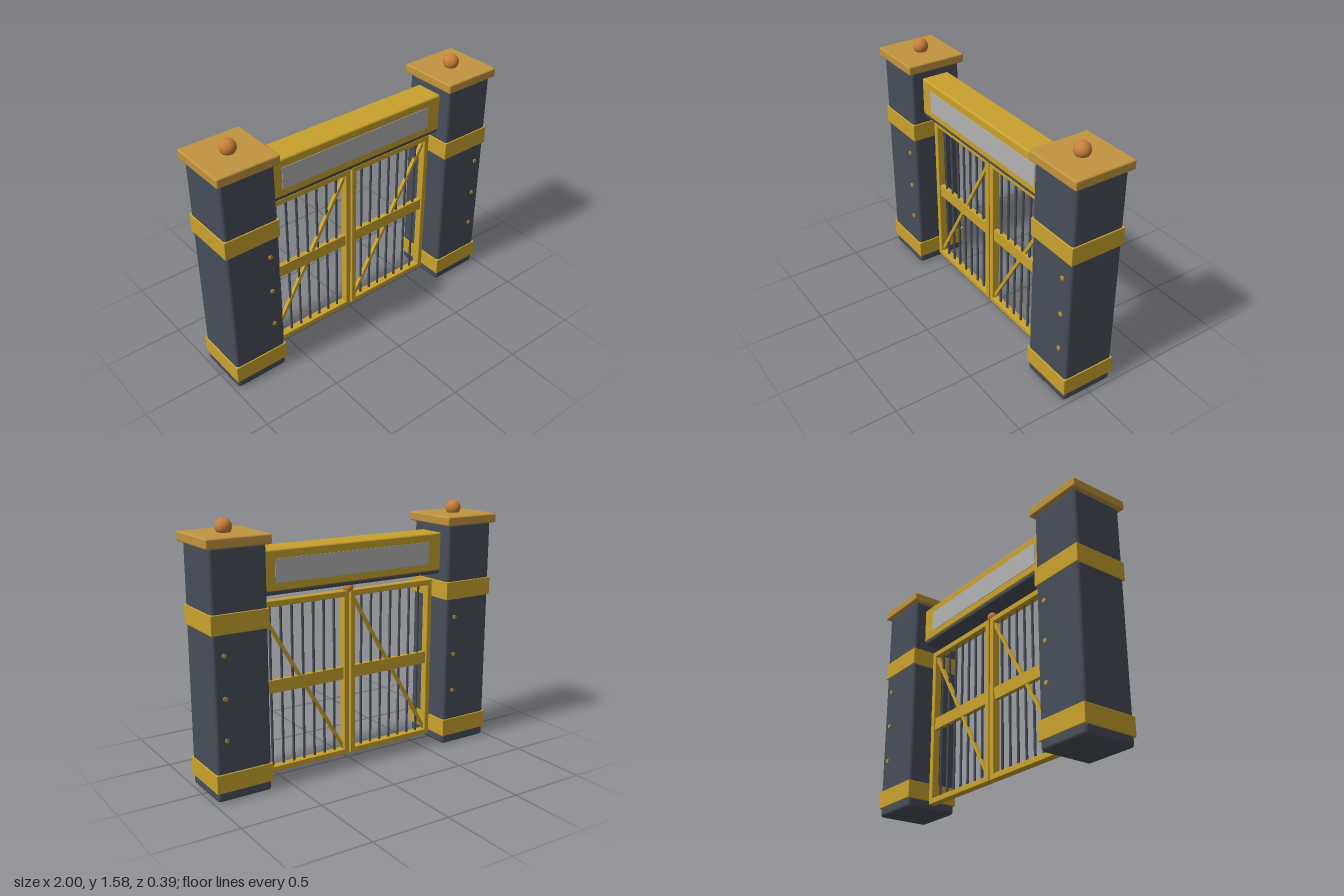
import * as THREE from 'three';
import { RoundedBoxGeometry } from 'three/addons/geometries/RoundedBoxGeometry.js';

const material = (name, color) => {
  const m = new THREE.MeshStandardMaterial({ color });
  m.name = name;
  return m;
};

export function createModel() {
  const slate = material('slate', 0x474e59);
  const gold = material('gold', 0xc9a22d);
  const bronze = material('bronze', 0xc1943f);
  const copper = material('copper', 0xc9803a);
  const silver = material('silver', 0xb2b2b2);

  const model = new THREE.Group();
  model.name = 'gateway';

  const add = (parent, name, geometry, mat, x, y, z = 0) => {
    const mesh = new THREE.Mesh(geometry, mat);
    mesh.name = name;
    mesh.position.set(x, y, z);
    parent.add(mesh);
    return mesh;
  };
  // Box given by its bottom and top heights; r rounds the edges
  const block = (parent, name, mat, x, w, y0, y1, d, r = 0, z = 0) => {
    const h = y1 - y0;
    const geo = r ? new RoundedBoxGeometry(w, h, d, 3, r) : new THREE.BoxGeometry(w, h, d);
    return add(parent, name, geo, mat, x, (y0 + y1) / 2, z);
  };

  // Pillars with bands, caps, finials and rivets
  for (const side of [-1, 1]) {
    const pillar = new THREE.Group();
    pillar.name = side < 0 ? 'rightPillar' : 'leftPillar';
    pillar.position.x = side * 0.805;
    model.add(pillar);
    block(pillar, 'pillarShaft', slate, 0, 0.342, 0, 1.45, 0.342, 0.02);
    block(pillar, 'lowerBand', gold, 0, 0.355, 0.057, 0.17, 0.355, 0.004);
    block(pillar, 'upperBand', gold, 0, 0.355, 0.972, 1.087, 0.355, 0.004);
    block(pillar, 'cap', bronze, 0, 0.39, 1.44, 1.498, 0.39, 0.01);
    add(pillar, 'finial', new THREE.SphereGeometry(0.048, 24, 16), copper, 0, 1.528);
    for (const y of [0.365, 0.61, 0.855]) {
      for (const face of [-1, 1]) {
        const rivet = add(pillar, 'rivet', new THREE.CylinderGeometry(0.014, 0.014, 0.012, 8),
          bronze, 0.105, y, face * 0.172);
        rivet.rotation.x = Math.PI / 2;
      }
    }
  }

  // Overhead beam with a blank plate on both faces
  block(model, 'beamCore', slate, 0, 1.28, 1.13, 1.3, 0.176, 0.014);
  block(model, 'beamCasing', gold, 0, 1.28, 1.152, 1.392, 0.186, 0.012);
  for (const face of [-1, 1]) {
    block(model, 'beamPlate', silver, 0, 1.08, 1.2, 1.34, 0.006, 0, face * 0.0935);
  }

  // Gate leaves
  for (const side of [-1, 1]) {
    const leaf = new THREE.Group();
    leaf.name = side < 0 ? 'rightGateLeaf' : 'leftGateLeaf';
    leaf.position.x = side * 0.318;
    model.add(leaf);
    for (const s of [-1, 1]) {
      block(leaf, 'stile', gold, s * 0.295, 0.035, 0.032, 1.085, 0.05, 0.005);
    }
    block(leaf, 'bottomRail', gold, 0, 0.6, 0.032, 0.068, 0.05, 0.005);
    block(leaf, 'topRail', gold, 0, 0.6, 1.048, 1.085, 0.05, 0.005);
    block(leaf, 'middleRail', gold, 0, 0.58, 0.527, 0.605, 0.03);
    for (let i = -3; i <= 3; i++) {
      add(leaf, 'bar', new THREE.CylinderGeometry(0.008, 0.008, 1, 10), slate, i * 0.073, 0.558);
    }
    // Both braces lean the same way
    const brace = add(leaf, 'brace', new THREE.BoxGeometry(0.02, 1.13, 0.022), gold, 0, 0.557);
    brace.rotation.z = -Math.atan2(0.57, 0.97);
  }

  // Knob where the leaves meet
  add(model, 'knob', new THREE.SphereGeometry(0.032, 20, 14), copper, -0.003, 1.1);

  return model;
}
